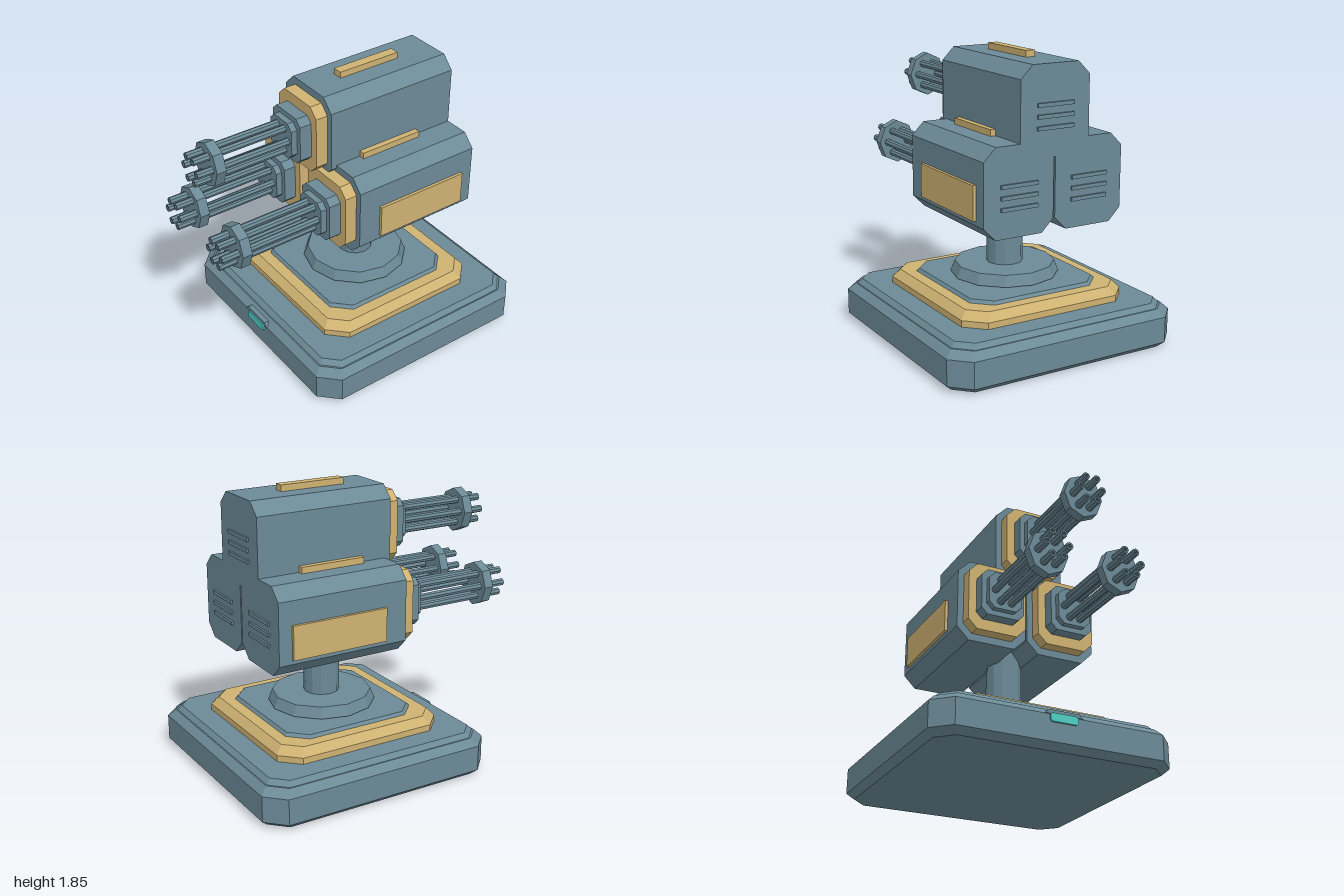
import * as THREE from 'three';

export function createModel() {
  const model = new THREE.Group();
  model.name = 'tripleTurret';
  const paint = (name, color) => {
    const m = new THREE.MeshStandardMaterial({ color });
    m.name = name;
    return m;
  };
  const slate = paint('slate', 0x6c8a97);
  const gold = paint('gold', 0xcfb272);
  const teal = paint('teal', 0x4ecdc4);

  // Faceted mesh
  const add = (parent, name, geometry, material, x = 0, y = 0, z = 0) => {
    const g = geometry.index ? geometry.toNonIndexed() : geometry;
    g.computeVertexNormals();
    const mesh = new THREE.Mesh(g, material);
    mesh.name = name;
    mesh.position.set(x, y, z);
    parent.add(mesh);
    return mesh;
  };
  const box = (parent, name, w, h, d, material, x, y, z) =>
    add(parent, name, new THREE.BoxGeometry(w, h, d), material, x, y, z);

  // Solid with chamfered-rectangle sections [halfWidth, halfHeight, chamfer, z]
  const loft = (rings) => {
    const pos = [];
    const idx = [];
    for (const [w, h, c, z] of rings) {
      for (const [x, y] of [[w, c - h], [w, h - c], [w - c, h], [c - w, h],
        [-w, h - c], [-w, c - h], [c - w, -h], [w - c, -h]]) pos.push(x, y, z);
    }
    const last = (rings.length - 1) * 8;
    for (let r = 0; r < last; r += 8) {
      for (let i = 0; i < 8; i++) {
        const j = (i + 1) % 8;
        idx.push(r + i, r + j, r + 8 + j, r + i, r + 8 + j, r + 8 + i);
      }
    }
    for (let i = 1; i < 7; i++) idx.push(0, i + 1, i, last, last + i, last + i + 1);
    const g = new THREE.BufferGeometry();
    g.setAttribute('position', new THREE.Float32BufferAttribute(pos, 3));
    g.setIndex(idx);
    return g;
  };
  const prism = (w, h, c, z0, z1) => loft([[w, h, c, z0], [w, h, c, z1]]);
  const upright = (rings) => loft(rings.map(([s, c, y]) => [s, s, c, y])).rotateX(-Math.PI / 2);

  // Stepped base
  const base = new THREE.Group();
  base.name = 'base';
  base.position.z = -0.205;
  model.add(base);
  add(base, 'basePlinth', upright([[0.75, 0.1, 0], [0.795, 0.115, 0.04], [0.795, 0.115, 0.205],
    [0.75, 0.1, 0.25], [0.742, 0.1, 0.25], [0.715, 0.09, 0.28]]), slate);
  add(base, 'goldStep', upright([[0.575, 0.115, 0.28], [0.575, 0.115, 0.32], [0.53, 0.1, 0.37]]), gold);
  add(base, 'upperStep', upright([[0.455, 0.11, 0.37], [0.44, 0.105, 0.39]]), slate);
  add(base, 'turntable', new THREE.CylinderGeometry(0.318, 0.345, 0.07, 12), slate, 0, 0.435);
  add(base, 'post', new THREE.CylinderGeometry(0.115, 0.115, 0.46, 12), slate, 0, 0.69);

  // Status light with a small hood
  add(model, 'statusLight', prism(0.092, 0.026, 0.012, 0.57, 0.604), teal, 0, 0.185);
  const hood = new THREE.Shape([[-0.125, 0], [0.125, 0], [0.1, 0.025], [-0.1, 0.025]]
    .map(([x, y]) => new THREE.Vector2(x, y)));
  add(model, 'lightHood', new THREE.ExtrudeGeometry(hood, { depth: 0.07, bevelEnabled: false }),
    slate, 0, 0.207, 0.525);

  // Barrel with a bored muzzle, running along z
  const barrel = (z0, z1) => new THREE.LatheGeometry(
    [[0.024, z0], [0.024, z1], [0.013, z1], [0.013, z1 - 0.04], [0, z1 - 0.04]]
      .map(([r, z]) => new THREE.Vector2(r, z)), 8).rotateX(Math.PI / 2);

  // Gun pod: housing, gold collar, hub, six barrels, clamp and rear vents
  const addPod = (name, x, y, front, tip) => {
    const pod = new THREE.Group();
    pod.name = name;
    pod.position.set(x, y, 0);
    model.add(pod);
    add(pod, 'housing', prism(0.2375, 0.275, 0.08, -0.762, front), slate);
    add(pod, 'collar', prism(0.197, 0.227, 0.06, front, front + 0.08), gold);
    add(pod, 'muzzleBlock', prism(0.145, 0.155, 0.04, front + 0.08, front + 0.16), slate);
    add(pod, 'hub', prism(0.112, 0.122, 0.04, front + 0.16, front + 0.2), slate);
    for (let i = 0; i < 6; i++) {
      const a = i * Math.PI / 3;
      add(pod, 'barrel', barrel(front + 0.18, tip), slate, 0.073 * Math.cos(a), 0.085 * Math.sin(a));
    }
    add(pod, 'barrelClamp', new THREE.CylinderGeometry(1, 1, 0.064, 8)
      .rotateX(Math.PI / 2).scale(0.13, 0.146, 1), slate, 0, 0, 0.85);
    box(pod, 'topBar', 0.064, 0.045, 0.435, gold, 0, 0.2925, -0.272);
    for (const v of [-0.068, 0, 0.068]) {
      box(pod, 'rearVent', 0.25, 0.024, 0.03, slate, 0, v - 0.03, -0.76);
    }
    return pod;
  };
  addPod('upperPod', 0, 1.53, 0.16, 0.988);
  for (const [side, name] of [[1, 'leftPod'], [-1, 'rightPod']]) {
    const pod = addPod(name, side * 0.243, 1.08, 0.12, 1);
    box(pod, 'sidePanel', 0.03, 0.213, 0.645, gold, side * 0.242, -0.06, -0.353);
  }
  return model;
}
